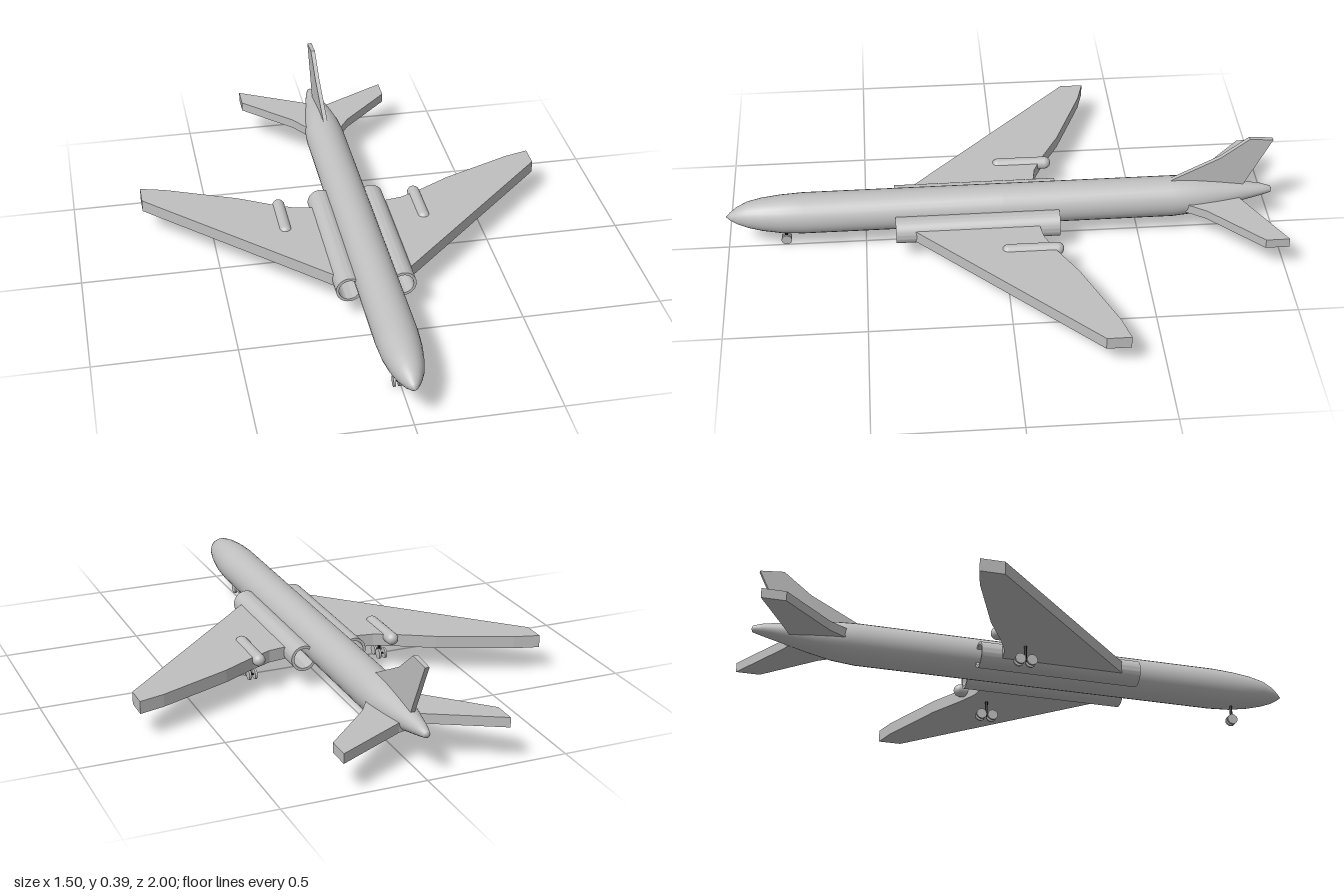
import * as THREE from 'three';
import { mergeVertices, toCreasedNormals } from 'three/addons/utils/BufferGeometryUtils.js';

const bodyGrey = new THREE.MeshStandardMaterial({ color: 0xc0c0c0 });
bodyGrey.name = 'bodyGrey';
const strutBlack = new THREE.MeshStandardMaterial({ color: 0x111111 });
strutBlack.name = 'strutBlack';

function addMesh(parent, name, geometry, material, x = 0, y = 0, z = 0) {
  const mesh = new THREE.Mesh(geometry, material);
  mesh.name = name;
  mesh.position.set(x, y, z);
  parent.add(mesh);
  return mesh;
}

// Flat slab with an outline of [x, z] points, mirrored by side
function slab(points, thickness, side) {
  const shape = new THREE.Shape(points.map(([x, z]) => new THREE.Vector2(x * side, z)));
  return new THREE.ExtrudeGeometry(shape, { depth: thickness, bevelEnabled: false })
    .rotateX(Math.PI / 2).translate(0, thickness, 0);
}

// Round body from [z, radius, centre height] stations, tail to nose
function fuselageGeometry() {
  const stations = [
    [-0.99, 0, 0.155], [-0.985, 0.012, 0.155], [-0.95, 0.022, 0.156],
    [-0.87, 0.038, 0.153], [-0.78, 0.056, 0.149], [-0.7, 0.069, 0.146],
    [-0.62, 0.0745, 0.144], [0, 0.0745, 0.144], [0.72, 0.0745, 0.144],
    [0.8, 0.07, 0.144], [0.87, 0.06, 0.146], [0.92, 0.048, 0.147],
    [0.96, 0.031, 0.145], [0.985, 0.014, 0.142], [1, 0, 0.141],
  ];
  const geo = new THREE.LatheGeometry(stations.map(([z, r]) => new THREE.Vector2(r, z)), 28);
  geo.rotateX(Math.PI / 2);
  const pos = geo.attributes.position;
  for (let i = 0; i < pos.count; i++) {
    const row = i % stations.length;
    pos.setY(i, pos.getY(i) + stations[row][2]);
  }
  geo.deleteAttribute('uv');
  geo.deleteAttribute('normal');
  const merged = mergeVertices(geo);
  merged.computeVertexNormals();
  return merged;
}

// Long open tube along z
function nacelleGeometry() {
  const ring = new THREE.Shape().absarc(0, 0, 0.047, 0, Math.PI * 2);
  ring.holes.push(new THREE.Path().absarc(0, 0, 0.037, 0, Math.PI * 2, true));
  const geo = new THREE.ExtrudeGeometry(ring, { depth: 0.59, bevelEnabled: false, curveSegments: 24 });
  return toCreasedNormals(geo, 0.6);
}

// Strut, axles and paired wheels; axles is a list of z offsets
function landingGear(name, x, z, wheelY, strutTop, halfTrack, axles) {
  const gear = new THREE.Group();
  gear.name = name;
  gear.position.set(x, 0, z);
  const height = strutTop - wheelY;
  addMesh(gear, 'strut', new THREE.CylinderGeometry(0.005, 0.005, height, 10), strutBlack,
    0, wheelY + height / 2, 0);
  if (axles.length > 1) {
    addMesh(gear, 'bogieBeam', new THREE.BoxGeometry(0.006, 0.006, 0.045), strutBlack, 0, wheelY, 0);
  }
  for (const dz of axles) {
    addMesh(gear, 'axle', new THREE.CylinderGeometry(0.003, 0.003, halfTrack * 2, 8).rotateZ(Math.PI / 2),
      strutBlack, 0, wheelY, dz);
    for (const side of [-1, 1]) {
      addMesh(gear, 'wheel', new THREE.CylinderGeometry(0.019, 0.019, 0.008, 18).rotateZ(Math.PI / 2),
        bodyGrey, side * halfTrack, wheelY, dz);
    }
  }
  return gear;
}

export function createModel() {
  const plane = new THREE.Group();
  plane.name = 'jetAircraft';

  addMesh(plane, 'fuselage', fuselageGeometry(), bodyGrey);

  const wing = [
    [0.138, 0.32], [0.75, -0.29], [0.75, -0.375], [0.66, -0.35], [0.4, -0.24],
    [0.275, -0.17], [0.2, -0.135], [0.138, -0.125],
  ];
  const stabilizer = [
    [0.02, -0.66], [0.065, -0.665], [0.11, -0.735], [0.29, -0.915], [0.29, -1], [0.04, -0.865], [0.02, -0.86],
  ];
  for (const side of [-1, 1]) {
    const label = side > 0 ? 'left' : 'right';
    addMesh(plane, label + 'Wing', slab(wing, 0.045, side), bodyGrey, 0, 0.096, 0);
    addMesh(plane, label + 'Stabilizer', slab(stabilizer, 0.035, side), bodyGrey,
      0, side > 0 ? 0.115 : 0.134, 0);
    addMesh(plane, label + 'EngineTube', nacelleGeometry(), bodyGrey, side * 0.095, 0.119, -0.2);
    addMesh(plane, label + 'WingPod', new THREE.CapsuleGeometry(0.023, 0.174, 8, 18).rotateX(Math.PI / 2),
      bodyGrey, side * 0.256, 0.131, -0.09);
    plane.add(landingGear(label + 'MainGear', side * 0.253, -0.075, 0.043, 0.1, 0.011, [-0.021, 0.021]));
  }

  // Swept tail fin, outline in z and y
  const fin = new THREE.Shape([
    [-0.6, 0.21], [-0.62, 0.222], [-0.79, 0.31], [-0.89, 0.388], [-0.975, 0.38], [-0.88, 0.185], [-0.8, 0.16],
  ].map(([z, y]) => new THREE.Vector2(z, y)));
  const finGeo = new THREE.ExtrudeGeometry(fin, { depth: 0.016, bevelEnabled: false })
    .rotateY(-Math.PI / 2).translate(0.008, 0, 0);
  addMesh(plane, 'tailFin', finGeo, bodyGrey);

  plane.add(landingGear('noseGear', -0.014, 0.79, 0.02, 0.085, 0.009, [0]));
  return plane;
}
